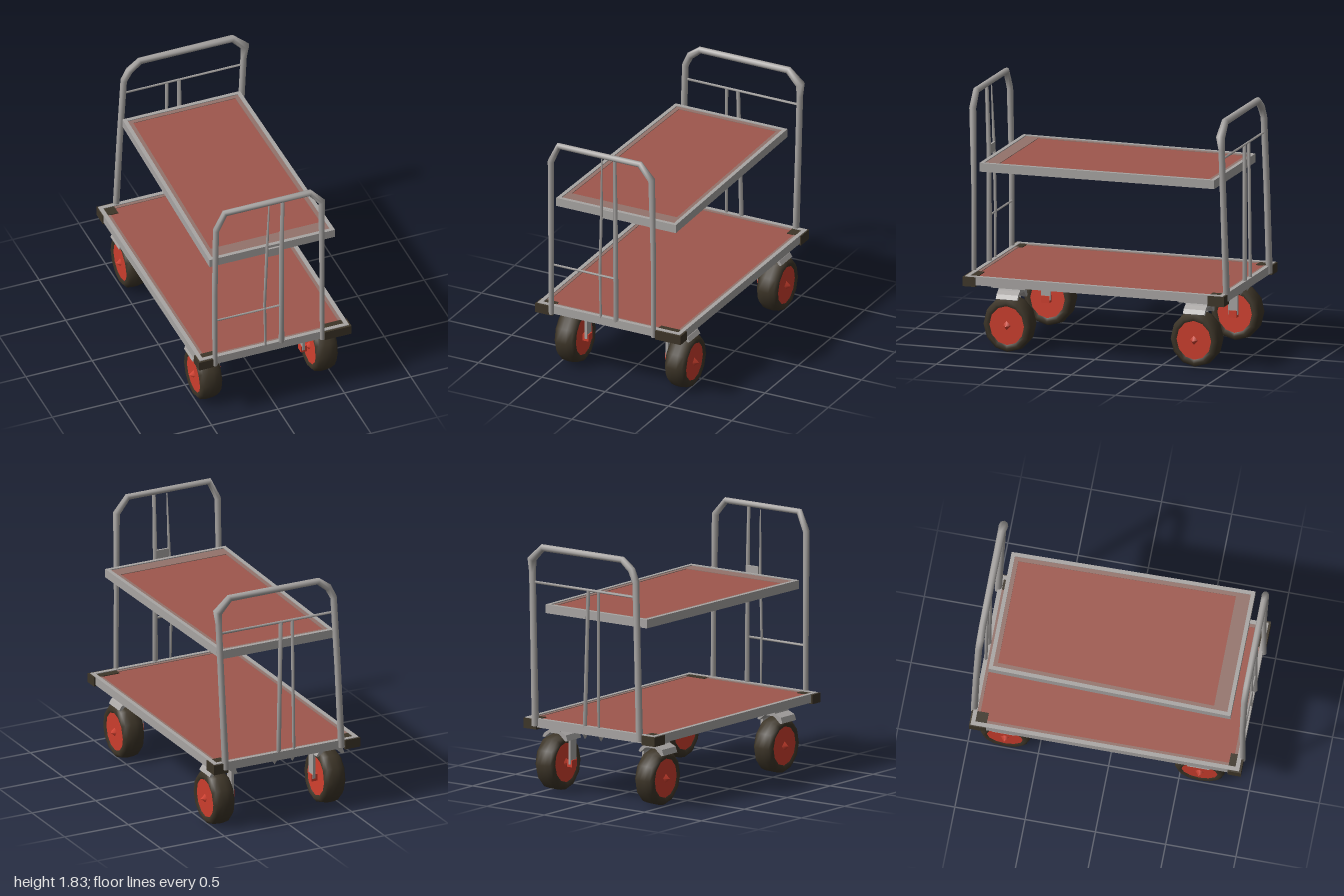
import * as THREE from 'three';

const mat = (name, color, side = THREE.FrontSide) => {
  const m = new THREE.MeshStandardMaterial({ color, side });
  m.name = name;
  return m;
};

export function createModel() {
  const steel = mat('steel grey', 0xa8a5a3);
  const panelRed = mat('panel red', 0x9e574d);
  const wornRed = mat('worn panel edge', 0x94736b);
  const rubber = mat('dark rubber', 0x3d3528);
  const hubRed = mat('hub red', 0xcf3f2e);

  const model = new THREE.Group();
  model.name = 'platformTrolley';

  const add = (parent, name, geo, material, x = 0, y = 0, z = 0) => {
    const m = new THREE.Mesh(geo, material);
    m.name = name;
    m.position.set(x, y, z);
    parent.add(m);
    return m;
  };
  const box = (parent, name, material, x0, x1, y0, y1, z0, z1) =>
    add(parent, name, new THREE.BoxGeometry(x1 - x0, y1 - y0, z1 - z0), material,
      (x0 + x1) / 2, (y0 + y1) / 2, (z0 + z1) / 2);

  // Mitred tube through [x, y, z, radius] points lying close to the xy plane
  const tube = (pts, sides = 8) => {
    const P = pts.map(p => new THREE.Vector3(p[0], p[1], p[2]));
    const pos = [], idx = [], n = P.length;
    const b = new THREE.Vector3(0, 0, 1);
    P.forEach((p, i) => {
      const d0 = P[i].clone().sub(P[Math.max(i - 1, 0)]).normalize();
      const d1 = P[Math.min(i + 1, n - 1)].clone().sub(p).normalize();
      const t = d0.add(d1).normalize();
      const nor = b.clone().cross(t).normalize();
      for (let j = 0; j < sides; j++) {
        const a = j / sides * Math.PI * 2, r = pts[i][3];
        const v = p.clone().addScaledVector(nor, Math.cos(a) * r).addScaledVector(b, Math.sin(a) * r);
        pos.push(v.x, v.y, v.z);
      }
    });
    for (let i = 0; i < n - 1; i++) for (let j = 0; j < sides; j++) {
      const k = (j + 1) % sides, a = i * sides, c = a + sides;
      idx.push(a + j, a + k, c + k, a + j, c + k, c + j);
    }
    for (let j = 1; j < sides - 1; j++) {
      const e = (n - 1) * sides;
      idx.push(0, j + 1, j, e, e + j, e + j + 1);
    }
    const g = new THREE.BufferGeometry();
    g.setAttribute('position', new THREE.Float32BufferAttribute(pos, 3));
    g.setIndex(idx);
    g.computeVertexNormals();
    return g;
  };

  // Four-cornered outline: back half-widths at -z, front at +z, drawn as (x, -z)
  const outline = (c, inset, Type = THREE.Shape) => {
    const s = new Type();
    s.moveTo(c.fl + inset, -c.front + inset);
    s.lineTo(c.fr - inset, -c.front + inset);
    s.lineTo(c.br - inset, -c.back - inset);
    s.lineTo(c.bl + inset, -c.back - inset);
    s.closePath();
    return s;
  };
  const slab = (shape, depth) => {
    const g = new THREE.ExtrudeGeometry(shape, { depth, bevelEnabled: false });
    return g.rotateX(-Math.PI / 2);
  };

  // Tray: hollow steel rim, recessed red panel and a worn band round its edge
  const tray = (name, c, y0, y1, rim, band, bandFront) => {
    const g = new THREE.Group();
    g.name = name;
    const rimShape = outline(c, 0);
    rimShape.holes.push(outline(c, rim, THREE.Path));
    add(g, name + 'Rim', slab(rimShape, y1 - y0), steel, 0, y0);
    add(g, name + 'Panel', slab(outline(c, rim), y1 - y0 - 0.016), panelRed, 0, y0 + 0.006);
    const bandShape = outline(c, rim);
    bandShape.holes.push(outline({ ...c, front: c.front - bandFront }, rim + band, THREE.Path));
    add(g, name + 'WornEdge', slab(bandShape, 0.004), wornRed, 0, y1 - 0.01);
    model.add(g);
  };
  tray('deck', { fl: -0.565, fr: 0.56, bl: -0.57, br: 0.565, front: 0.94, back: -0.97 }, 0.48, 0.542, 0.03, 0.022, 0);
  tray('shelf', { fl: -0.46, fr: 0.485, bl: -0.425, br: 0.46, front: 0.86, back: -0.87 }, 1.28, 1.342, 0.028, 0.03, 0.07);

  // Rubber corner bumpers under the deck lip
  box(model, 'bumperFrontRight', rubber, -0.577, -0.44, 0.47, 0.537, 0.86, 0.955);
  box(model, 'bumperFrontLeft', rubber, 0.37, 0.572, 0.47, 0.537, 0.86, 0.955);
  box(model, 'bumperBackRight', rubber, -0.577, -0.46, 0.47, 0.537, -0.98, -0.86);
  box(model, 'bumperBackLeft', rubber, 0.46, 0.572, 0.465, 0.537, -0.98, -0.86);

  // Push handles
  add(model, 'frontHandle', tube([
    [-0.452, 0.48, 0.945, 0.02], [-0.455, 1.1, 0.945, 0.021], [-0.45, 1.67, 0.957, 0.024],
    [-0.385, 1.806, 0.962, 0.024], [0.255, 1.806, 0.962, 0.024], [0.345, 1.7, 0.957, 0.026],
    [0.352, 1.1, 0.945, 0.019], [0.355, 0.48, 0.945, 0.018]]), steel);
  add(model, 'backHandle', tube([
    [-0.435, 0.49, -0.968, 0.025], [-0.41, 1.1, -0.958, 0.024], [-0.385, 1.62, -0.945, 0.025],
    [-0.345, 1.7, -0.94, 0.027], [-0.265, 1.762, -0.94, 0.025], [0.43, 1.762, -0.94, 0.027],
    [0.525, 1.67, -0.94, 0.034], [0.518, 1.58, -0.945, 0.024],
    [0.5, 1.1, -0.955, 0.024], [0.475, 0.49, -0.968, 0.026]]), steel);

  // Infill bars inside the handles
  const bar = (name, ...pts) => add(model, name, tube(pts, 4), steel);
  bar('frontBarLeft', [0.052, 0.53, 0.935, 0.021], [0.05, 1.34, 0.94, 0.018], [0.052, 1.79, 0.955, 0.014]);
  bar('frontBarRight', [-0.068, 0.53, 0.935, 0.009], [-0.075, 0.9, 0.935, 0.011],
    [-0.06, 1.36, 0.94, 0.012], [-0.05, 1.78, 0.955, 0.005]);
  bar('frontCrossbar', [-0.45, 0.862, 0.94, 0.009], [0.05, 0.862, 0.94, 0.009]);
  box(model, 'frontBracket', steel, -0.05, 0.05, 1.31, 1.375, 0.925, 0.94);
  bar('backBarLeft', [0.052, 0.53, -0.955, 0.018], [0.03, 1.51, -0.945, 0.016]);
  bar('backBarRight', [-0.068, 0.53, -0.955, 0.012], [-0.06, 1.51, -0.945, 0.013]);
  bar('backCrossbar', [-0.39, 1.51, -0.945, 0.01], [0.515, 1.51, -0.945, 0.01]);

  // Small stops below the deck's back edge
  for (const x of [-0.07, 0.07])
    add(model, 'deckStop', new THREE.ConeGeometry(0.035, 0.05, 4).rotateX(Math.PI), steel, x, 0.462, -0.93);

  // Casters, built for the left side with +x outwards
  const tyreProfile = [[0.135, -0.068], [0.165, -0.084], [0.192, -0.062], [0.2, -0.02],
    [0.2, 0.02], [0.192, 0.062], [0.165, 0.084], [0.135, 0.068]].map(p => new THREE.Vector2(...p));
  const arch = new THREE.Shape();
  [[-0.115, 0.375], [-0.1, 0.415], [-0.05, 0.437], [-0.035, 0.482], [0.035, 0.482], [0.05, 0.437],
    [0.085, 0.415], [0.105, 0.385], [0.09, 0.378], [0.04, 0.418], [-0.04, 0.418], [-0.095, 0.37]]
    .forEach(([x, y], i) => i ? arch.lineTo(x, y) : arch.moveTo(x, y));

  for (const side of [1, -1]) for (const z of [0.645, -0.74]) {
    const g = new THREE.Group();
    g.name = (z > 0 ? 'front' : 'back') + (side > 0 ? 'Left' : 'Right') + 'Caster';
    const wheel = new THREE.Group();
    wheel.name = 'wheel';
    add(wheel, 'tyre', new THREE.LatheGeometry(tyreProfile, 12).rotateZ(Math.PI / 2), rubber);
    add(wheel, 'hub', new THREE.CylinderGeometry(0.143, 0.143, 0.142, 12).rotateZ(Math.PI / 2), hubRed);
    for (const s of [1, -1])
      add(wheel, 'axleCap', new THREE.ConeGeometry(0.035, 0.04, 4).rotateZ(-s * Math.PI / 2), hubRed, s * 0.088);
    wheel.position.set(side > 0 ? 0.448 : -0.422, 0.2, z);
    wheel.rotation.z = side * -0.03;
    wheel.scale.z = 0.91;
    g.add(wheel);

    // Fork: arched yoke, mounting plate and one inner leg
    const cx = side * 0.42;
    add(g, 'forkArch', new THREE.ExtrudeGeometry(arch, { depth: 0.16, bevelEnabled: false }), steel, cx, 0, z - 0.08);
    box(g, 'mountPlate', steel, cx - 0.07, cx + 0.07, 0.455, 0.483, z - 0.125, z + 0.125);
    box(g, 'forkLeg', steel, cx - side * 0.1 - 0.009, cx - side * 0.1 + 0.009, 0.2, 0.39, z - 0.035, z + 0.035);
    box(g, 'axleNut', hubRed, cx - side * 0.095 - 0.022, cx - side * 0.095 + 0.022, 0.18, 0.23, z - 0.03, z + 0.03);
    model.add(g);
  }

  return model;
}
